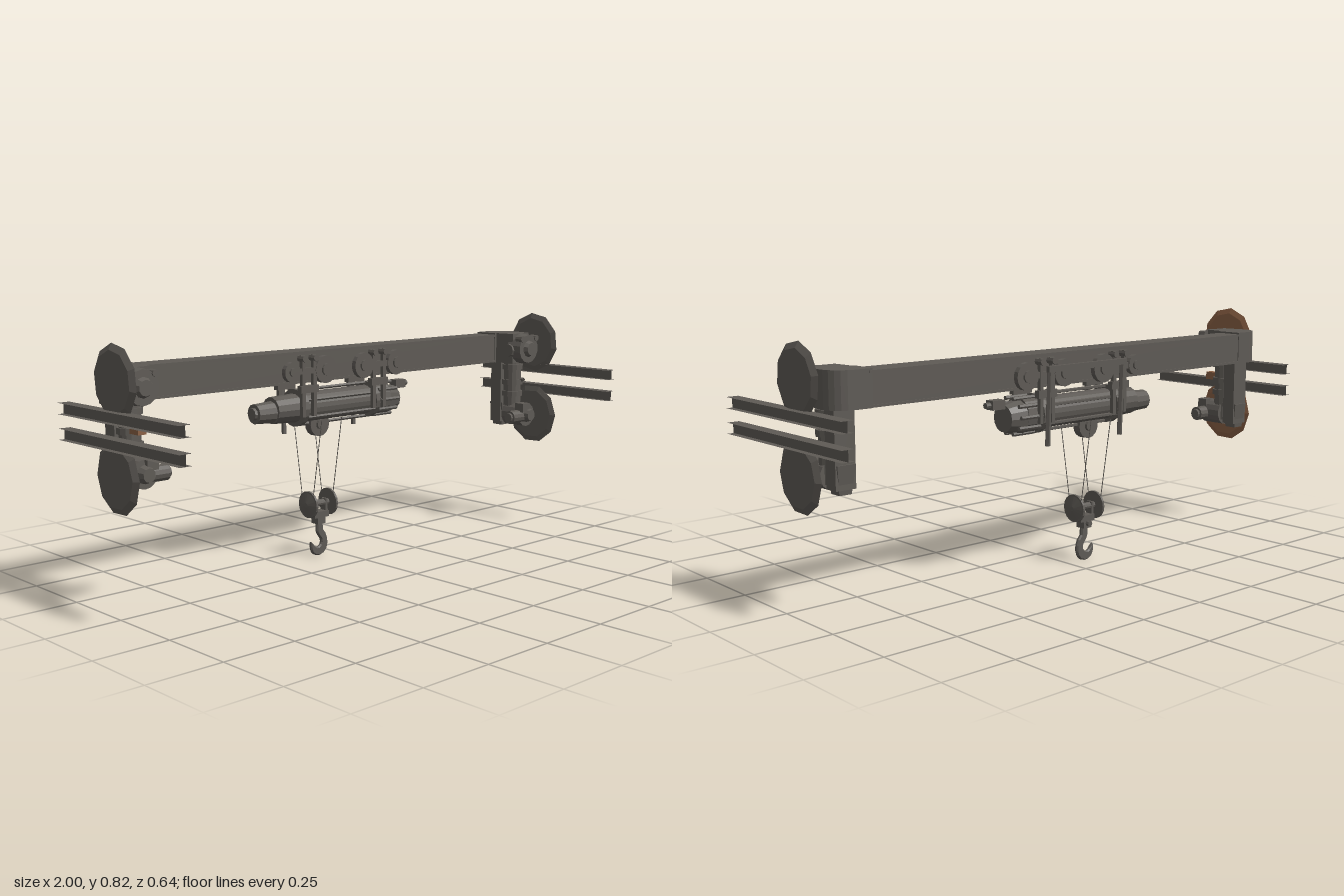
import * as THREE from 'three';

const steel = new THREE.MeshStandardMaterial({ color: 0x5e5a55 });
steel.name = 'darkSteel';
steel.flatShading = true;
steel.side = THREE.DoubleSide;
const rust = new THREE.MeshStandardMaterial({ color: 0x8a6044 });
rust.name = 'rustBrown';
rust.flatShading = true;

function add(parent, name, geo, x, y, z, mat = steel) {
  const m = new THREE.Mesh(geo, mat);
  m.name = name;
  m.position.set(x, y, z);
  parent.add(m);
  return m;
}
const box = (p, n, w, h, d, x, y, z, mat) => add(p, n, new THREE.BoxGeometry(w, h, d), x, y, z, mat);

// Cylinder along axis 'x', 'y' or 'z'; r1 is the radius at the positive end
function cyl(p, n, axis, r1, r2, len, x, y, z, sides = 14, mat = steel) {
  const g = new THREE.CylinderGeometry(r1, r2, len, sides);
  if (axis === 'x') g.rotateZ(-Math.PI / 2);
  if (axis === 'z') g.rotateX(Math.PI / 2);
  return add(p, n, g, x, y, z, mat);
}

function rod(p, n, a, b, r) {
  const path = new THREE.LineCurve3(new THREE.Vector3(...a), new THREE.Vector3(...b));
  return add(p, n, new THREE.TubeGeometry(path, 1, r, 5), 0, 0, 0);
}

// Rail of thin open flanges and web
function rail(p, x, y) {
  const g = new THREE.Group();
  g.name = 'rail';
  for (const s of [-1, 1]) {
    const flange = new THREE.PlaneGeometry(0.042, 0.64).rotateX(-Math.PI / 2);
    add(g, 'railFlange', flange, x, y + s * 0.0175, 0);
  }
  add(g, 'railWeb', new THREE.PlaneGeometry(0.64, 0.035).rotateY(Math.PI / 2), x, y, 0);
  p.add(g);
}

// Curved end of the beam with its knuckle, leg, drive and two plates
function endUnit(side) {
  const g = new THREE.Group();
  g.name = side > 0 ? 'leftEnd' : 'rightEnd';
  const s = new THREE.Shape();
  const X = (v) => v * side;
  s.moveTo(X(0.82), 0.215);
  s.lineTo(X(0.88), 0.215);
  s.quadraticCurveTo(X(0.95), 0.205, X(0.95), 0.13);
  s.lineTo(X(0.935), 0.05);
  s.lineTo(X(0.84), 0.05);
  s.lineTo(X(0.83), 0.125);
  s.lineTo(X(0.82), 0.125);
  const bend = new THREE.ExtrudeGeometry(s, { depth: 0.115, bevelEnabled: false, curveSegments: 6 });
  add(g, 'beamBend', bend.rotateX(-Math.PI / 2), 0, 0.628, 0);

  // Upper knuckle
  cyl(g, 'knuckle', 'z', 0.055, 0.06, 0.06, X(0.89), 0.685, -0.04);
  cyl(g, 'knuckleCap', 'z', 0.025, 0.035, 0.02, X(0.89), 0.685, -0.005, 10);
  for (const a of [-1, 1]) {
    cyl(g, 'knuckleBolt', 'z', 0.012, 0.012, 0.03, X(0.89) + a * 0.042, 0.725, -0.02, 8);
    cyl(g, 'sideBoss', 'x', 0.024, 0.024, 0.02, X(0.89) + a * 0.055, 0.68, -0.06, 8);
  }
  // Leg with collars and back plate
  cyl(g, 'leg', 'y', 0.034, 0.034, 0.26, X(0.89), 0.53, -0.09);
  for (const y of [0.505, 0.55, 0.61]) cyl(g, 'legCollar', 'y', 0.041, 0.041, 0.02, X(0.89), y, -0.09);
  box(g, 'legBackPlate', 0.07, 0.24, 0.05, X(0.89), 0.51, -0.145);
  const heel = cyl(g, 'legHeel', 'y', 0.045, 0.03, 0.09, X(0.89), 0.42, -0.145, 4);
  heel.rotation.y = Math.PI / 4;
  // Lower drive
  cyl(g, 'lowerKnuckle', 'z', 0.046, 0.046, 0.09, X(0.89), 0.425, -0.06);
  cyl(g, 'lowerCap', 'z', 0.022, 0.03, 0.025, X(0.89), 0.425, -0.003, 10);
  cyl(g, 'driveMotor', 'x', 0.026, 0.026, 0.07, X(0.84), 0.42, -0.03, 12);
  cyl(g, 'driveMotorEnd', 'x', 0.018, 0.018, 0.015, X(0.803), 0.42, -0.03, 10);
  box(g, 'driveBox', 0.04, 0.035, 0.04, X(0.87), 0.455, -0.02);
  if (side < 0) box(g, 'sensor', 0.03, 0.028, 0.045, X(0.9), 0.56, -0.03, rust);
  rod(g, 'sensorArm', [X(0.9), 0.56, -0.1], [X(0.9), 0.56, -0.04], 0.008);

  // Faceted plates and the shafts that carry them
  [0.705, 0.42].forEach((y, i) => {
    cyl(g, 'plateShaft', 'x', 0.018, 0.018, 0.08, X(0.925), y, -0.045, 10);
    const r = side > 0 ? [0.095, 0.115] : [0.115, 0.095];
    const outer = cyl(g, 'plateOuter', 'x', r[0], r[1], 0.012, X(0.97), y, -0.045, 10);
    const inner = cyl(g, 'plateInner', 'x', r[1], r[0], 0.008, X(0.96), y, -0.045, 10,
      side < 0 ? rust : steel);
    outer.rotation.x = inner.rotation.x = 0.2 + i * 0.4;
  });
  rail(g, X(0.978), 0.5225);
  rail(g, X(0.978), 0.6025);
  return g;
}

// Wheels and hangers riding on the beam
function trolley(p) {
  const g = new THREE.Group();
  g.name = 'trolley';
  const wheels = [[-0.24, 0.034], [-0.09, 0.048], [0.09, 0.045], [0.25, 0.045]];
  for (const z of [-0.108, -0.232]) {
    for (const [x, r] of wheels) {
      cyl(g, 'trolleyWheel', 'z', r, r, 0.018, x, 0.672, z, 16);
      cyl(g, 'wheelHub', 'z', r * 0.45, r * 0.45, 0.032, x, 0.672, z, 10);
    }
    for (const x of [-0.165, 0.165]) {
      box(g, 'wheelLink', 0.16, 0.02, 0.012, x, 0.672, z);
      for (const dx of [-0.025, 0.025]) {
        box(g, 'hanger', 0.014, 0.21, 0.014, x + dx, 0.62, z);
        cyl(g, 'hangerBolt', 'z', 0.012, 0.012, 0.03, x + dx, 0.715, z, 8);
      }
      box(g, 'hangerClamp', 0.08, 0.025, 0.02, x, 0.61, z);
    }
  }
  box(g, 'rearBar', 0.35, 0.02, 0.014, 0, 0.69, -0.25);
  for (const x of [-0.165, 0.165]) rod(g, 'rearStay', [x, 0.69, -0.248], [x, 0.44, -0.238], 0.009);
  p.add(g);
}

// Hoist drum with motor and gearbox
function hoist(p) {
  const g = new THREE.Group();
  g.name = 'hoist';
  const y = 0.54, z = -0.17;
  cyl(g, 'drum', 'x', 0.052, 0.052, 0.34, 0, y, z, 20);
  for (const x of [-0.17, 0.165]) cyl(g, 'drumFlange', 'x', 0.066, 0.066, 0.018, x, y, z, 16);
  for (let i = 0; i < 6; i++) {
    const a = (i + 0.5) * Math.PI / 3;
    rod(g, 'tieRod', [-0.17, y + 0.06 * Math.sin(a), z + 0.06 * Math.cos(a)],
      [0.165, y + 0.06 * Math.sin(a), z + 0.06 * Math.cos(a)], 0.006);
  }
  cyl(g, 'motor', 'x', 0.05, 0.046, 0.1, -0.23, y, z, 14);
  cyl(g, 'motorEnd', 'x', 0.038, 0.034, 0.075, -0.315, y - 0.005, z, 12);
  cyl(g, 'motorCap', 'x', 0.024, 0.02, 0.02, -0.352, y - 0.005, z, 10);
  cyl(g, 'gearbox', 'x', 0.06, 0.06, 0.06, 0.205, y, z, 14);
  cyl(g, 'gearboxCover', 'x', 0.045, 0.058, 0.06, 0.265, y - 0.005, z, 14);
  for (let i = 0; i < 10; i++) {
    const a = i * Math.PI / 5;
    cyl(g, 'coverBolt', 'x', 0.007, 0.007, 0.09, 0.225, y + 0.06 * Math.sin(a), z + 0.06 * Math.cos(a), 6);
  }
  box(g, 'controlBox', 0.05, 0.03, 0.035, 0.325, 0.583, z);
  cyl(g, 'controlKnob', 'x', 0.01, 0.01, 0.02, 0.358, 0.583, z, 8);
  cyl(g, 'guideSheave', 'z', 0.043, 0.043, 0.03, -0.072, 0.474, z, 16);
  cyl(g, 'guideHub', 'z', 0.018, 0.018, 0.05, -0.072, 0.474, z, 10);
  p.add(g);
}

// Ropes, sheave block and hook
function hookBlock(p) {
  const g = new THREE.Group();
  g.name = 'hookBlock';
  const cx = -0.073, z = -0.165;
  for (const s of [-1, 1]) {
    const x = cx + s * 0.046;
    rod(g, 'frontRope', [x, 0.5, -0.092], [x, 0.2, -0.143], 0.0015);
    rod(g, 'rearRope', [x, 0.5, -0.242], [x, 0.2, -0.195], 0.0015);
    cyl(g, 'sheave', 'x', 0.048, 0.048, 0.008, x, 0.191, z, 16);
    cyl(g, 'sheaveCone', 'x', s > 0 ? 0.008 : 0.046, s > 0 ? 0.046 : 0.008, 0.01, x + s * 0.008, 0.191, z, 16);
    box(g, 'sheaveBracket', 0.01, 0.06, 0.025, cx + s * 0.028, 0.175, z);
  }
  cyl(g, 'sheaveAxle', 'x', 0.012, 0.012, 0.09, cx, 0.191, z, 10);
  box(g, 'crossBar', 0.066, 0.022, 0.036, cx, 0.152, z);
  box(g, 'hookSocket', 0.036, 0.03, 0.036, cx, 0.133, z);
  cyl(g, 'sideLatch', 'z', 0.01, 0.01, 0.012, cx, 0.135, z - 0.024, 8);

  const s = new THREE.Shape();
  s.moveTo(-0.008, 0.122);
  s.lineTo(0.012, 0.122);
  s.lineTo(0.014, 0.092);
  s.bezierCurveTo(0.045, 0.065, 0.042, 0.008, 0, 0.006);
  s.bezierCurveTo(-0.03, 0.006, -0.038, 0.025, -0.036, 0.05);
  s.lineTo(-0.022, 0.034);
  s.bezierCurveTo(-0.008, 0.02, 0.018, 0.035, 0.012, 0.058);
  s.bezierCurveTo(0.008, 0.07, -0.006, 0.078, -0.008, 0.092);
  const hook = new THREE.ExtrudeGeometry(s, {
    depth: 0.006, bevelEnabled: true, bevelSize: 0.004, bevelThickness: 0.005, bevelSegments: 1, curveSegments: 6,
  });
  add(g, 'hook', hook, cx, 0, z - 0.003);
  p.add(g);
}

export function createModel() {
  const model = new THREE.Group();
  model.name = 'overheadCrane';
  // Main girder with slightly wider flanges
  box(model, 'girder', 1.66, 0.1, 0.084, 0, 0.684, -0.17);
  for (const y of [0.633, 0.733]) box(model, 'girderFlange', 1.66, 0.008, 0.092, 0, y, -0.17);
  model.add(endUnit(1), endUnit(-1));
  trolley(model);
  hoist(model);
  hookBlock(model);
  return model;
}
